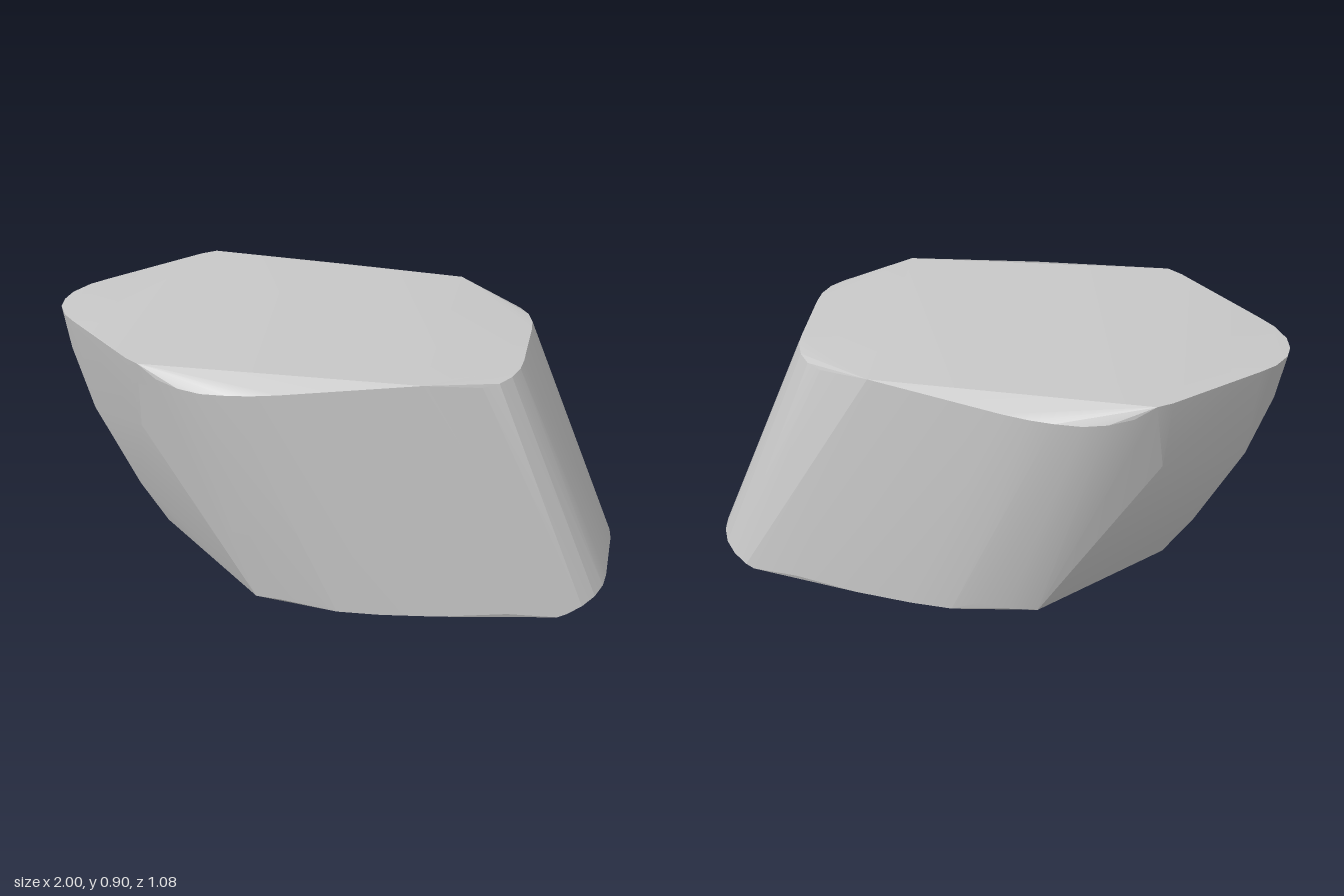
import * as THREE from 'three';
import { ConvexGeometry } from 'three/addons/geometries/ConvexGeometry.js';
import { toCreasedNormals } from 'three/addons/utils/BufferGeometryUtils.js';

// Half outlines as [x, y, z]; each is mirrored across z = 0.
const topRim = [
  [-1, 0.875, 0], [-0.99, 0.877, 0.06], [-0.95, 0.88, 0.13], [-0.9, 0.883, 0.18],
  [-0.8, 0.89, 0.265], [-0.62, 0.9, 0.435], [-0.57, 0.902, 0.468], [0.37, 0.905, 0.425],
];
const shoulder = [
  [-0.5, 0.865, 0.493], [-0.42, 0.853, 0.518], [-0.34, 0.85, 0.532],
  [-0.25, 0.857, 0.538], [-0.17, 0.863, 0.535], [-0.08, 0.87, 0.522],
];
const noseSide = [
  [-0.96, 0.72, 0.07], [-0.88, 0.5, 0.1], [-0.72, 0.21, 0.12], [-0.62, 0.06, 0.12],
  [-0.6, 0.62, 0.385], [-0.4, 0.35, 0.395],
];
const base = [
  [-0.53, 0, 0.12], [-0.2, 0, 0.435], [-0.1, 0.02, 0.465], [0, 0.05, 0.48], [0.1, 0.01, 0.478],
  [0.25, 0.005, 0.458], [0.45, 0.005, 0.425], [0.68, 0.02, 0.38], [0.85, 0, 0.335],
];
// Rounded slanted end: [top x, top y, bottom x, bottom y, z]
const slantedEnd = [
  [0.66, 0.873, 1, 0.052, 0.12], [0.655, 0.873, 0.993, 0.049, 0.18], [0.635, 0.871, 0.97, 0.041, 0.24],
  [0.6, 0.868, 0.93, 0.027, 0.29], [0.55, 0.865, 0.88, 0.01, 0.325],
];

export function createModel() {
  const group = new THREE.Group();
  const grey = new THREE.MeshStandardMaterial({ color: 0xc8c8c8 });
  grey.name = 'grey';

  const half = [...topRim, ...shoulder, ...noseSide, ...base];
  for (const [tx, ty, bx, by, z] of slantedEnd) half.push([tx, ty, z], [bx, by, z]);

  const points = [];
  for (const [x, y, z] of half) {
    points.push(new THREE.Vector3(x, y, z));
    if (z > 0) points.push(new THREE.Vector3(x, y, -z));
  }

  // Leaning faceted block with softened curved sides
  const block = new THREE.Mesh(toCreasedNormals(new ConvexGeometry(points), 0.2), grey);
  block.name = 'leaningBlock';
  group.add(block);
  return group;
}
